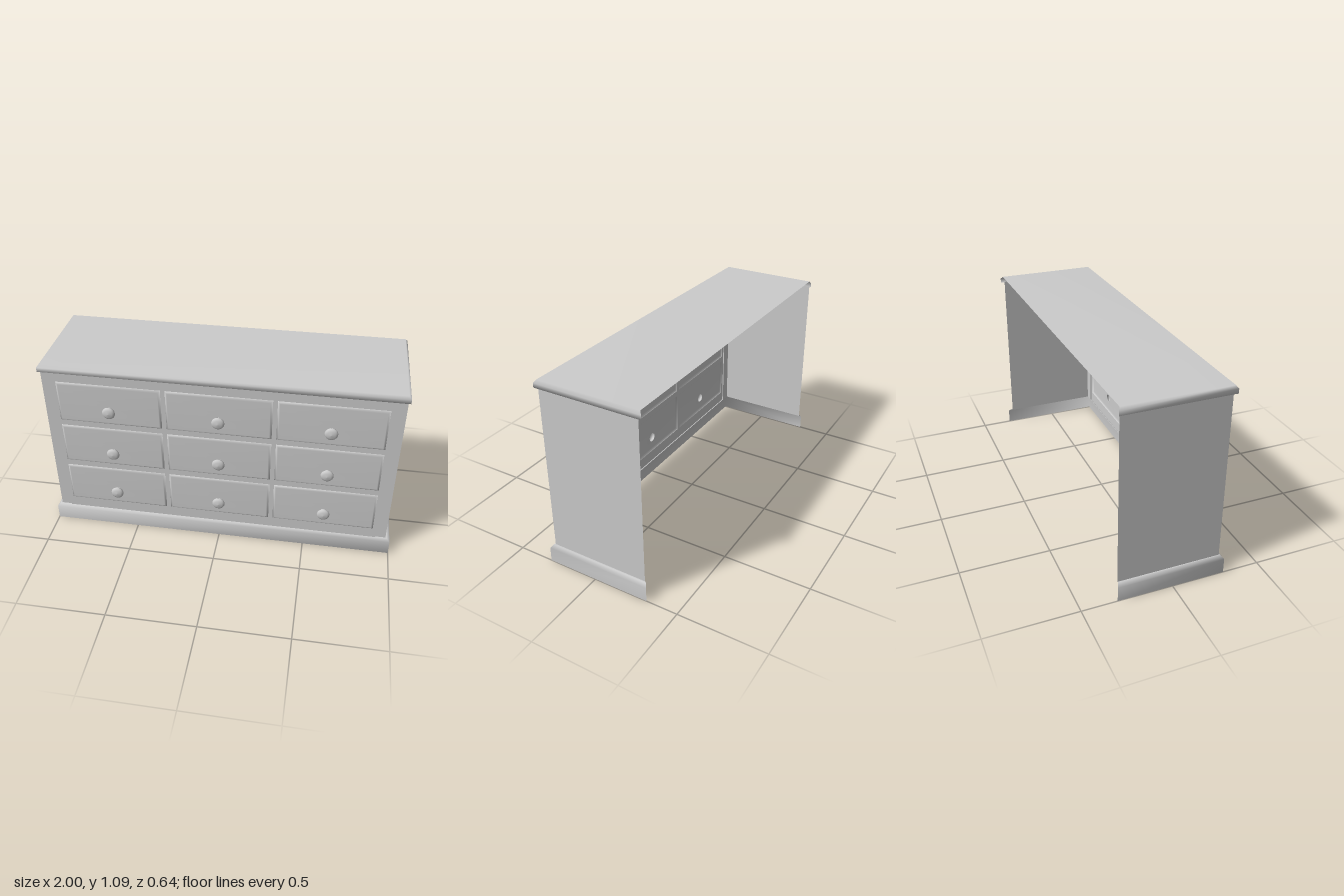
import * as THREE from 'three';
import { mergeGeometries, mergeVertices } from 'three/addons/utils/BufferGeometryUtils.js';

const material = new THREE.MeshStandardMaterial({ color: 0xcccccc, side: THREE.DoubleSide });

// Skin between successive rows of [x, y, z] points
function loft(rows, closed = false) {
  const n = rows[0].length, index = [];
  for (let r = 0; r < rows.length - 1; r++) {
    for (let i = 0; i < (closed ? n : n - 1); i++) {
      const a = r * n + i, b = r * n + (i + 1) % n;
      index.push(a, b, b + n, a, b + n, a + n);
    }
  }
  const g = new THREE.BufferGeometry();
  g.setAttribute('position', new THREE.Float32BufferAttribute(rows.flat(2), 3));
  g.setIndex(index);
  return g;
}

// Weld pieces into one softly shaded skin
function weld(...parts) {
  const clean = parts.map((g) => {
    g.deleteAttribute('normal');
    g.deleteAttribute('uv');
    return g;
  });
  const g = mergeVertices(mergeGeometries(clean), 1e-4);
  g.computeVertexNormals();
  return g;
}

function flat(g) {
  const f = g.toNonIndexed();
  f.computeVertexNormals();
  return f;
}

function mesh(name, geometry) {
  const m = new THREE.Mesh(geometry, material);
  m.name = name;
  return m;
}

// U-shaped row running round the left end, front and right end, open at the back
const uRow = (x, y, front, backL, backR) =>
  [[-x, y, backL], [-x, y, front], [x, y, front], [x, y, backR]];

const rectPoints = (x, y, hw, hh) =>
  [[x - hw, y - hh], [x + hw, y - hh], [x + hw, y + hh], [x - hw, y + hh]];

const toShape = (pts) => new THREE.Shape(pts.map((p) => new THREE.Vector2(...p)));

const COLS = [-0.605, 0, 0.605], ROWS = [0.293, 0.578, 0.861];
const HALF_W = 0.29, HALF_H = 0.124, KNOB_DROP = 0.037;
const FRAME_Z = 0.281, POST_Z = 0.275, DRAWER_Z = 0.29;

// Hollow drawer front with a raised bevelled edge, open behind the knob
function drawerGeometry() {
  const rim = [[0, FRAME_Z], [0.003, 0.286], [0.013, DRAWER_Z]].map(([inset, z]) =>
    rectPoints(0, 0, HALF_W - inset, HALF_H - inset).map(([x, y]) => [x, y, z]));
  const face = toShape(rectPoints(0, 0, HALF_W - 0.013, HALF_H - 0.013));
  face.holes.push(new THREE.Path().absarc(0, -KNOB_DROP, 0.028, 0, Math.PI * 2, true));
  return weld(loft(rim, true), new THREE.ShapeGeometry(face, 12).translate(0, 0, DRAWER_Z));
}

function knobGeometry() {
  const profile = [[0.028, 0], [0.027, 0.008], [0.035, 0.011], [0.036, 0.016],
    [0.033, 0.023], [0.022, 0.029], [0.0001, 0.032]];
  return new THREE.LatheGeometry(profile.map((p) => new THREE.Vector2(...p)), 24)
    .rotateX(Math.PI / 2);
}

export function createModel() {
  const group = new THREE.Group();

  // Plinth round three sides
  group.add(mesh('plinth', weld(loft([
    uRow(1.0, 0, 0.295, -0.305, -0.32),
    uRow(1.0, 0.085, 0.295, -0.305, -0.32),
    uRow(0.983, 0.102, 0.281, -0.297, -0.31),
    uRow(0.975, 0.102, POST_Z, -0.295, -0.3),
  ]))));

  // End panels, each turning the corner into a narrow post beside the frame
  for (const side of [-1, 1]) {
    const path = [[0.975, -0.298], [0.975, POST_Z], [0.915, POST_Z], [0.915, FRAME_Z]];
    if (side > 0) path.reverse();
    const row = (y) => path.map(([x, z]) => [side * x, y, z]);
    group.add(mesh(side > 0 ? 'leftEndPanel' : 'rightEndPanel', flat(loft([row(0.1), row(1.05)]))));
  }

  // Front frame with an opening for each drawer
  const frame = toShape(rectPoints(0, 0.576, 0.915, 0.474));
  for (const x of COLS) {
    for (const y of ROWS) frame.holes.push(toShape(rectPoints(x, y, HALF_W, HALF_H)));
  }
  group.add(mesh('frontFrame', new THREE.ShapeGeometry(frame).translate(0, 0, FRAME_Z)));

  // Top board with its moulded edge
  const board = uRow(0.972, 1.086, 0.284, -0.297, -0.308);
  const edge = loft([
    uRow(0.975, 1.046, POST_Z, -0.295, -0.3),
    uRow(0.985, 1.046, 0.295, -0.305, -0.32),
    uRow(0.985, 1.071, 0.295, -0.305, -0.32),
    board,
  ]);
  const [backL, frontL, frontR, backR] = board;
  group.add(mesh('top', weld(edge, loft([[frontL, frontR], [backL, backR]]))));

  // Nine drawers with round knobs
  const drawerGeo = drawerGeometry(), knobGeo = knobGeometry();
  for (const x of COLS) {
    for (const y of ROWS) {
      const drawer = new THREE.Group();
      drawer.name = 'drawer';
      const knob = mesh('knob', knobGeo);
      knob.position.set(0, -KNOB_DROP, DRAWER_Z);
      drawer.add(mesh('drawerFront', drawerGeo), knob);
      drawer.position.set(x, y, 0);
      group.add(drawer);
    }
  }
  return group;
}
